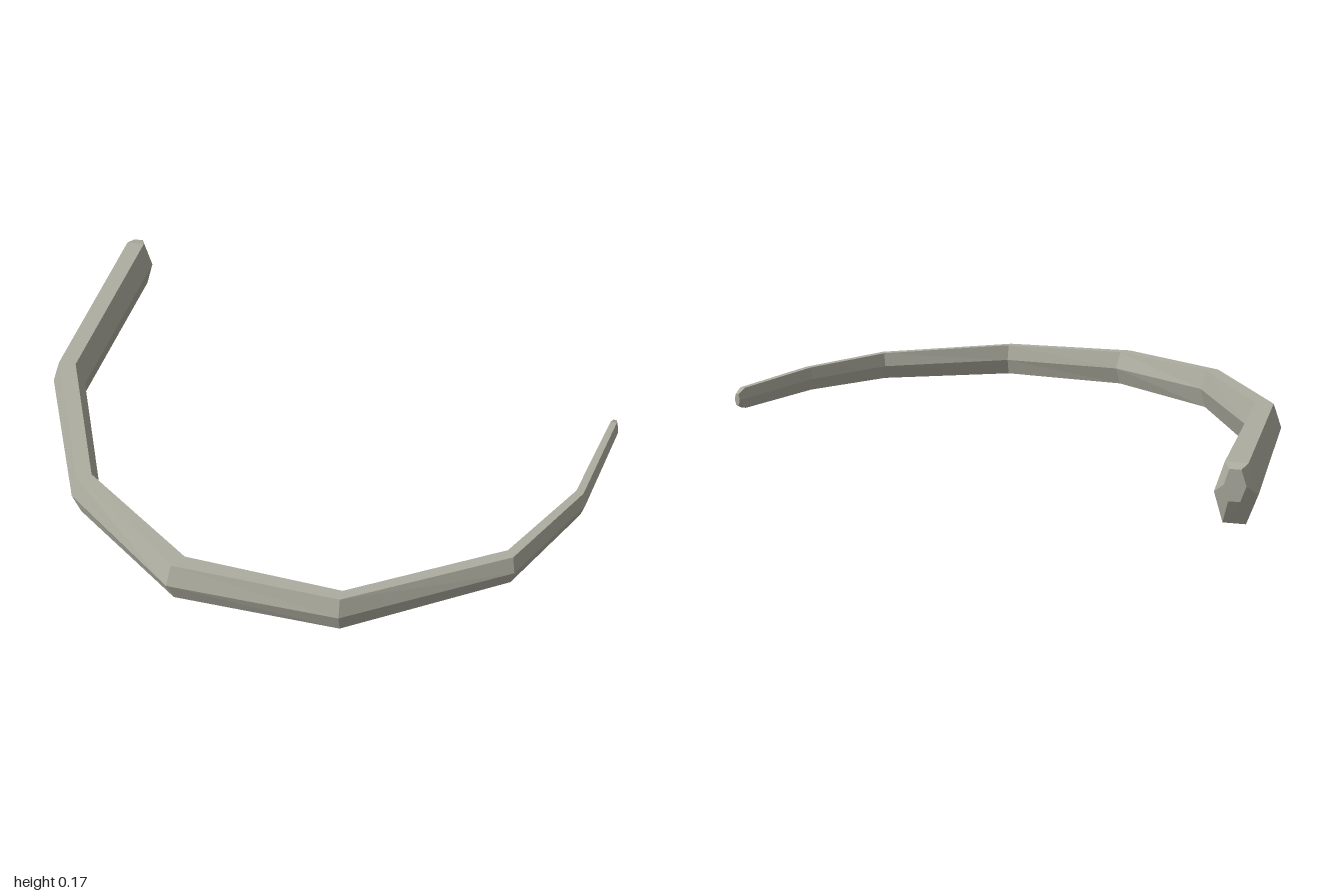
import * as THREE from 'three';

// Cross-sections along the curve: outer x, z; inner x, z; centre height; half height
const SECTIONS = [
  [-0.556, -0.998, -0.500, -0.975, 0.118, 0.045], // blunt thick end
  [-0.598, -0.972, -0.487, -0.927, 0.086, 0.086],
  [-0.885, -0.260, -0.783, -0.222, 0.087, 0.077],
  [-0.858, 0.340, -0.772, 0.330, 0.087, 0.068],
  [-0.620, 0.776, -0.540, 0.722, 0.087, 0.062],
  [-0.170, 0.994, -0.143, 0.935, 0.087, 0.057],
  [0.355, 0.922, 0.344, 0.863, 0.087, 0.049],
  [0.650, 0.690, 0.620, 0.656, 0.087, 0.042],
  [0.873, 0.378, 0.842, 0.358, 0.087, 0.036],
  [0.884, 0.345, 0.866, 0.333, 0.087, 0.020], // blunt thin end
];

// Six-sided section: [fraction from outer to inner edge, height factor]
const HEX = [[0, 0], [0.25, 1], [0.78, 1], [1, 0], [0.78, -1], [0.25, -1]];

function taperedSweep() {
  const positions = [];
  const index = [];
  const n = HEX.length;
  for (const [ox, oz, ix, iz, y, h] of SECTIONS) {
    for (const [t, s] of HEX) {
      positions.push(ox + (ix - ox) * t, y + h * s, oz + (iz - oz) * t);
    }
  }
  // Side faces between neighbouring sections
  for (let i = 0; i < SECTIONS.length - 1; i++) {
    for (let j = 0; j < n; j++) {
      const a = i * n + j;
      const b = i * n + ((j + 1) % n);
      index.push(a, a + n, b, b, a + n, b + n);
    }
  }
  // End caps
  const last = (SECTIONS.length - 1) * n;
  for (let j = 1; j < n - 1; j++) {
    index.push(0, j, j + 1);
    index.push(last, last + j + 1, last + j);
  }
  const indexed = new THREE.BufferGeometry();
  indexed.setAttribute('position', new THREE.Float32BufferAttribute(positions, 3));
  indexed.setIndex(index);
  const geometry = indexed.toNonIndexed();
  geometry.computeVertexNormals();
  return geometry;
}

export function createModel() {
  const group = new THREE.Group();
  group.name = 'curvedBand';

  const bone = new THREE.MeshStandardMaterial({ color: 0xaeada0, flatShading: true });
  bone.name = 'bone grey';

  // One tapering faceted arc
  const arc = new THREE.Mesh(taperedSweep(), bone);
  arc.name = 'taperedArc';
  group.add(arc);

  return group;
}
